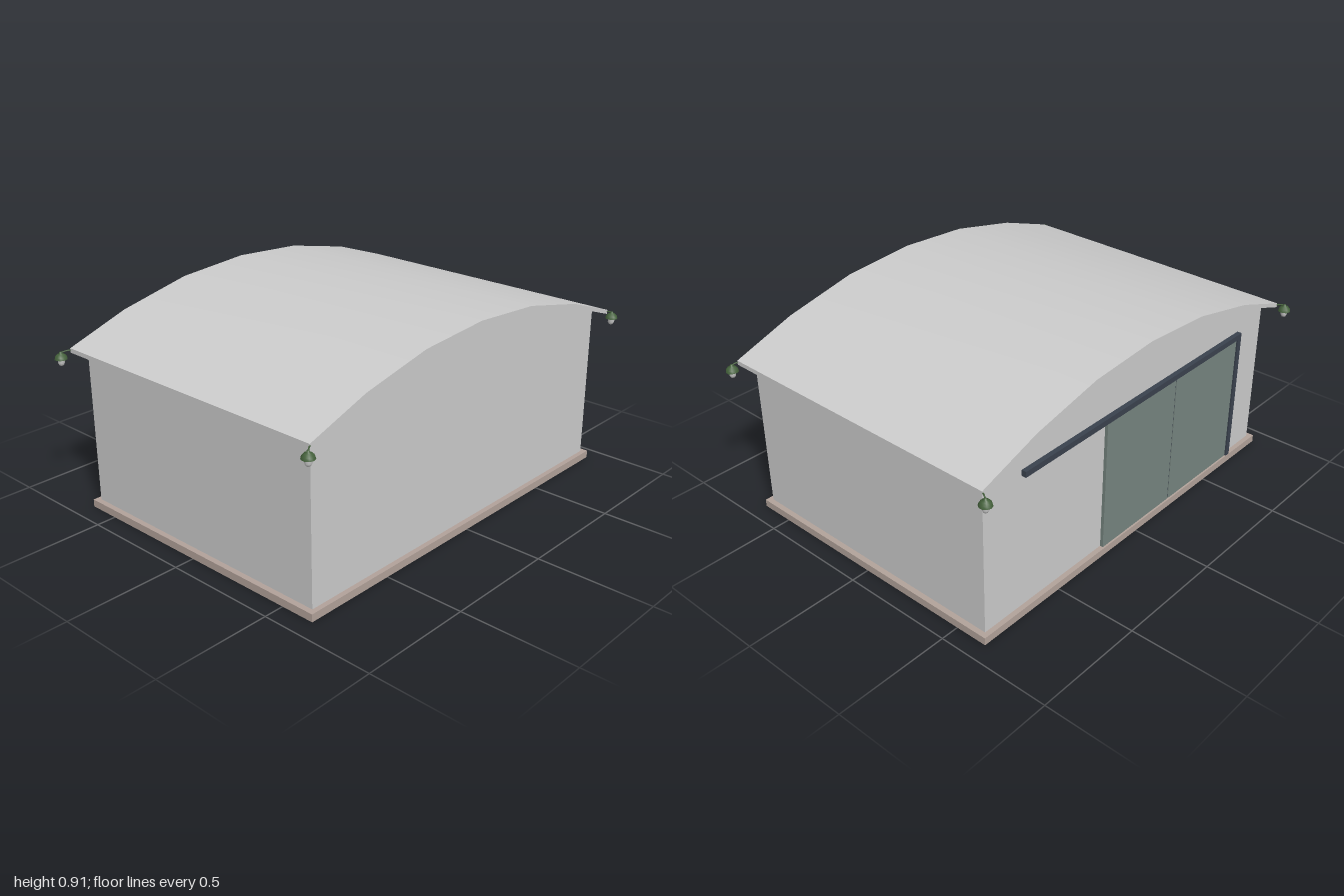
import * as THREE from 'three';
import { toCreasedNormals } from 'three/addons/utils/BufferGeometryUtils.js';

const paint = (color) => new THREE.MeshStandardMaterial({ color });
const grey = paint(0xcccccc);
const brown = paint(0xb2a29a);
const slate = paint(0x76847f);
const navy = paint(0x3a424e);
const green = paint(0x43603a);
green.side = THREE.DoubleSide;

// underside of the curved roof, from ridge to eave
const ARC = [[0, 0.891], [0.335, 0.868], [0.663, 0.797], [0.943, 0.701]];
const THICK = 0.019;
const WALL_X = 0.893, WALL_Z = 0.625, BASE_H = 0.033;

function add(parent, name, geometry, material, x = 0, y = 0, z = 0) {
  const mesh = new THREE.Mesh(geometry, material);
  mesh.name = name;
  mesh.position.set(x, y, z);
  parent.add(mesh);
  return mesh;
}

// box given by its lower and upper corners
function block(parent, name, material, a, b) {
  return add(parent, name, new THREE.BoxGeometry(b[0] - a[0], b[1] - a[1], b[2] - a[2]), material,
    (a[0] + b[0]) / 2, (a[1] + b[1]) / 2, (a[2] + b[2]) / 2);
}

// extrude centred on z = 0
function slab(shape, depth) {
  return new THREE.ExtrudeGeometry(shape, { depth, bevelEnabled: false }).translate(0, 0, -depth / 2);
}

const points = (list) => list.map(([x, y]) => new THREE.Vector2(x, y));
const bothSides = (arc) => [...arc, ...arc.slice(1).map(([x, y]) => [-x, y]).reverse()];
const rectangle = (w, d) => points([[-w, -d], [w, -d], [w, d], [-w, d]]);

function createLamp(x, z) {
  const lamp = new THREE.Group();
  lamp.name = 'cornerLamp';
  lamp.position.set(x, 0.678, z);
  // domed shade with a small cap
  add(lamp, 'lampShade', new THREE.LatheGeometry(points([
    [0.027, 0], [0.024, 0.011], [0.016, 0.02], [0.007, 0.024], [0.005, 0.03], [0, 0.031],
  ]), 10), green);
  add(lamp, 'lampCollar', new THREE.CylinderGeometry(0.014, 0.014, 0.012, 10), navy, 0, 0.004, 0);
  // glass bulb
  add(lamp, 'lampGlass', new THREE.LatheGeometry(points([
    [0, -0.03], [0.009, -0.026], [0.014, -0.016], [0.015, 0.002],
  ]), 10), grey);
  // arm to the roof corner
  const start = new THREE.Vector3(0, 0.026, 0);
  const corner = new THREE.Vector3(Math.sign(x) * 0.938 + 0.004 - x, 0.034, Math.sign(z) * 0.67 + 0.004 - z);
  const middle = start.clone().lerp(corner, 0.5).add(new THREE.Vector3(0, 0.006, 0));
  const curve = new THREE.QuadraticBezierCurve3(start, middle, corner);
  add(lamp, 'lampArm', new THREE.TubeGeometry(curve, 5, 0.003, 5), green);
  return lamp;
}

export function createModel() {
  const model = new THREE.Group();
  model.name = 'shed';
  const hall = new THREE.Group();
  hall.name = 'hall';
  hall.position.set(0.004, 0, 0.004);
  model.add(hall);

  // open foundation frame
  const frame = new THREE.Shape(rectangle(0.917, 0.647));
  frame.holes.push(new THREE.Path(rectangle(0.885, 0.617)));
  const base = slab(frame, BASE_H).rotateX(-Math.PI / 2);
  add(hall, 'foundation', base, brown, 0, BASE_H / 2, 0);

  // front and back walls follow the roof arc
  const gable = new THREE.Shape(points([
    [-WALL_X, BASE_H], [WALL_X, BASE_H], ...bothSidesGable(),
  ]));
  for (const s of [1, -1]) {
    add(hall, s > 0 ? 'frontWall' : 'backWall', slab(gable, 0.008), grey, 0, 0, s * (WALL_Z - 0.004));
    const x = s * (WALL_X - 0.004);
    block(hall, s > 0 ? 'leftWall' : 'rightWall', grey,
      [x - 0.004, BASE_H, -WALL_Z], [x + 0.004, 0.72, WALL_Z]);
  }

  // curved roof sheet, smooth along the arc
  const upper = bothSides(ARC).map(([x, y]) => [x, y + THICK]);
  const roofLine = [
    ...ARC.slice().reverse().map(([x, y]) => [x, y]),
    ...ARC.slice(1).map(([x, y]) => [-x, y]),
  ];
  const top = roofLine.map(([x, y]) => [x, y + THICK]).reverse();
  const roof = slab(new THREE.Shape(points([...roofLine, ...top])), 1.346);
  add(hall, 'roof', toCreasedNormals(roof, Math.PI / 6), grey);

  // sliding door on the back: two panels, rail and end post
  const zWall = -WALL_Z;
  block(hall, 'doorPanel', slate, [-0.237, BASE_H, zWall - 0.014], [0.21, 0.635, zWall]);
  block(hall, 'doorPanel', slate, [-0.69, BASE_H, zWall - 0.014], [-0.243, 0.635, zWall]);
  block(hall, 'doorSeam', navy, [-0.243, BASE_H, zWall - 0.011], [-0.237, 0.635, zWall]);
  block(hall, 'doorRail', navy, [-0.71, 0.63, zWall - 0.021], [0.69, 0.655, zWall]);
  block(hall, 'doorPost', navy, [-0.71, BASE_H, zWall - 0.021], [-0.685, 0.63, zWall]);

  // lamps at the four roof corners
  for (const [x, z] of [[-0.973, -0.689], [0.955, -0.692], [-0.96, 0.69], [0.971, 0.686]]) {
    model.add(createLamp(x, z));
  }
  return model;
}

// wall top from +x to -x, cut where the wall meets the arc
function bothSidesGable() {
  const half = [...ARC.slice(0, 3), [WALL_X, 0.719]];
  return [...half.slice().reverse(), ...half.slice(1).map(([x, y]) => [-x, y])];
}
